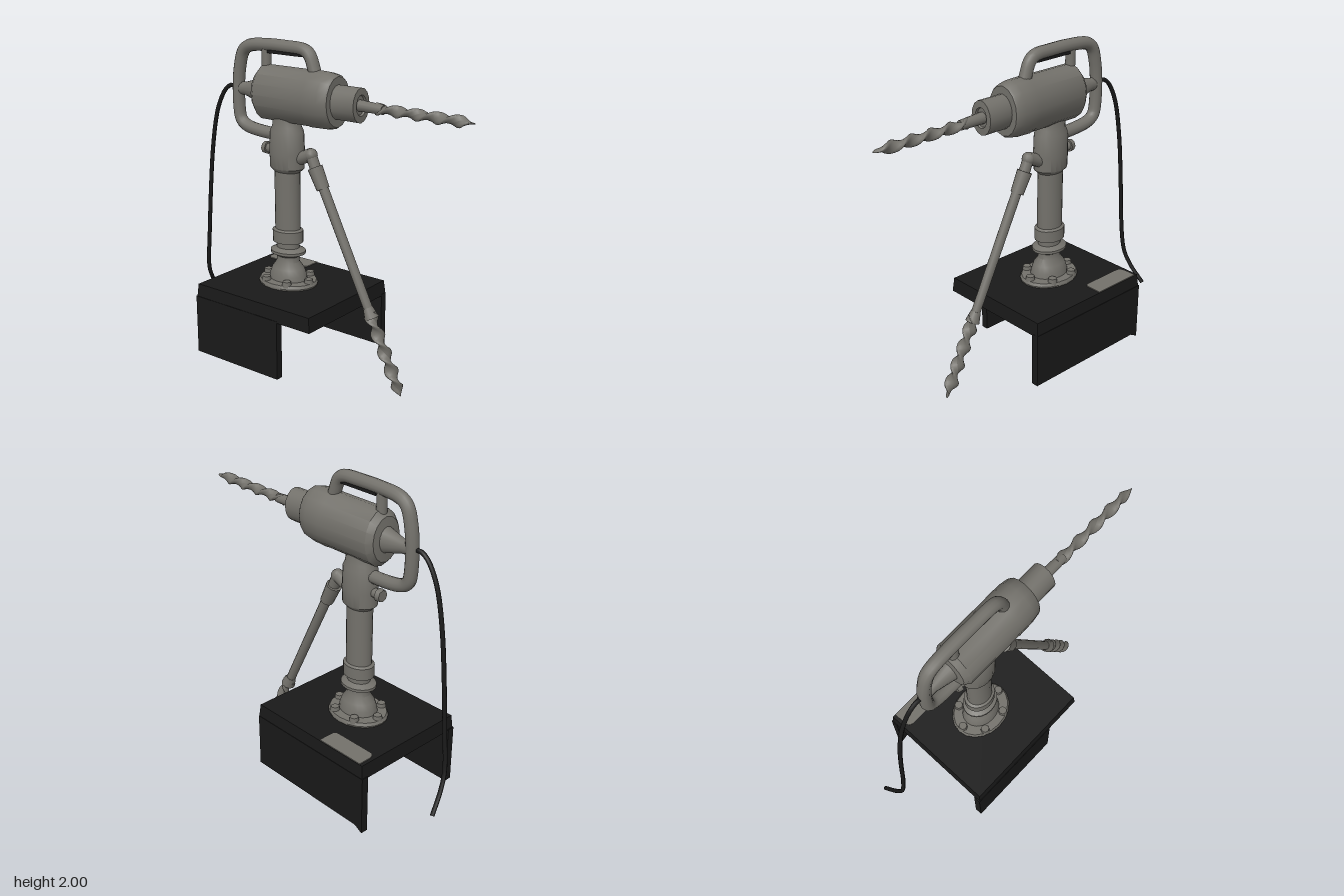
import * as THREE from 'three';
import { toCreasedNormals } from 'three/addons/utils/BufferGeometryUtils.js';

const steel = new THREE.MeshStandardMaterial({ color: 0x73716b });
steel.name = 'steel grey';
const black = new THREE.MeshStandardMaterial({ color: 0x191919 });
black.name = 'black';

const V = (x, y, z = 0) => new THREE.Vector3(x, y, z);

export function createModel() {
  const model = new THREE.Group();
  model.name = 'drillOnStand';

  function add(name, geometry, material = steel) {
    const mesh = new THREE.Mesh(geometry, material);
    mesh.name = name;
    model.add(mesh);
    return mesh;
  }

  // Closed turned part from [radius, height] pairs, flattened in z
  function turned(profile, flatten, sides = 20) {
    const g = new THREE.LatheGeometry(profile.map(([r, h]) => new THREE.Vector2(r, h)), sides);
    g.scale(1, 1, flatten);
    return toCreasedNormals(g, 0.7);
  }

  function tube(points, radius, segments, sides = 10, tension = 0.5) {
    const curve = new THREE.CatmullRomCurve3(points, false, 'catmullrom', tension);
    return new THREE.TubeGeometry(curve, segments, radius, sides);
  }

  // Puts a part built along +y between two points
  function span(mesh, a, b) {
    const dir = b.clone().sub(a);
    mesh.position.copy(a).addScaledVector(dir, 0.5);
    mesh.quaternion.setFromUnitVectors(V(0, 1, 0), dir.normalize());
    return mesh;
  }

  function rod(name, a, b, rA, rB = rA, sides = 12) {
    return span(add(name, new THREE.CylinderGeometry(rB, rA, a.distanceTo(b), sides)), a, b);
  }

  // Flat bar twisted along its length and narrowed to a point
  function twistedBit(name, a, b, radius, turns, flat) {
    const length = a.distanceTo(b);
    const g = new THREE.CylinderGeometry(1, 1, length, 10, 48);
    const p = g.attributes.position;
    for (let i = 0; i < p.count; i++) {
      const t = p.getY(i) / length + 0.5;
      const angle = t * turns * Math.PI * 2;
      const r = radius * Math.min(1, 0.1 + (1 - t) * 7);
      const x = p.getX(i) * r, z = p.getZ(i) * r * flat;
      p.setX(i, x * Math.cos(angle) - z * Math.sin(angle));
      p.setZ(i, x * Math.sin(angle) + z * Math.cos(angle));
    }
    g.computeVertexNormals();
    return span(add(name, g), a, b);
  }

  // Base table top, slightly narrower at its upper face
  const top = new THREE.BoxGeometry(0.88, 0.09, 0.76);
  const tp = top.attributes.position;
  for (let i = 0; i < tp.count; i++) {
    if (tp.getY(i) > 0) tp.setXYZ(i, tp.getX(i) * 0.98, tp.getY(i), tp.getZ(i) * 0.98);
  }
  top.computeVertexNormals();
  add('baseTop', top, black).position.set(-0.23, 0.475, 0);

  // Base side panels: the front one is shorter
  function panel(name, corners, z) {
    const shape = new THREE.Shape(corners.map(([x, y]) => new THREE.Vector2(x, y)));
    const g = new THREE.ExtrudeGeometry(shape, { depth: 0.045, bevelEnabled: false });
    add(name, g, black).position.z = z;
  }
  panel('frontPanel', [[-0.675, 0.07], [-0.03, 0.07], [-0.03, 0.44], [-0.675, 0.44]], 0.337);
  panel('backPanel', [[-0.675, 0.07], [-0.62, 0.1], [0.21, 0.1], [0.21, 0.44], [-0.675, 0.44]], -0.382);

  // Small label plate on the base
  const label = new THREE.Shape();
  label.moveTo(-0.64, 0.37);
  label.lineTo(-0.32, 0.37);
  label.lineTo(-0.32, 0.28);
  label.quadraticCurveTo(-0.32, 0.25, -0.35, 0.25);
  label.lineTo(-0.6, 0.25);
  label.quadraticCurveTo(-0.64, 0.25, -0.64, 0.3);
  const labelPlate = add('labelPlate', new THREE.ExtrudeGeometry(label, { depth: 0.006, bevelEnabled: false }));
  labelPlate.rotation.x = -Math.PI / 2;
  labelPlate.position.y = 0.519;

  // Column with flange, ring and collar
  const cx = -0.255;
  add('column', turned([
    [0, 0.515], [0.19, 0.515], [0.195, 0.53], [0.185, 0.548], [0.125, 0.55], [0.12, 0.58],
    [0.105, 0.62], [0.075, 0.66], [0.075, 0.695], [0.115, 0.715], [0.115, 0.732], [0.075, 0.75],
    [0.075, 0.78], [0.1, 0.787], [0.1, 0.86], [0.083, 0.87], [0.083, 1.24], [0, 1.24],
  ], 0.82)).position.x = cx;
  for (let i = 0; i < 6; i++) {
    const a = (i / 6) * Math.PI * 2;
    add('flangeBolt', new THREE.CylinderGeometry(0.025, 0.03, 0.035, 8))
      .position.set(cx + Math.cos(a) * 0.16, 0.555, Math.sin(a) * 0.13);
  }

  // Clamp holding the drill, with its knob
  add('clamp', turned([
    [0, 1.225], [0.085, 1.225], [0.112, 1.25], [0.115, 1.34], [0.11, 1.47], [0.095, 1.5], [0.09, 1.56], [0, 1.56],
  ], 0.78)).position.x = cx;
  rod('clampScrew', V(-0.35, 1.345), V(-0.41, 1.345), 0.028);
  rod('clampKnob', V(-0.4, 1.345), V(-0.43, 1.345), 0.04, 0.035, 8);

  // Drill motor and chuck, turned around the x axis
  const motor = add('motorBody', turned([
    [0, -0.61], [0.04, -0.61], [0.04, -0.57], [0.075, -0.45], [0.13, -0.445], [0.165, -0.41],
    [0.165, -0.05], [0.168, -0.04], [0.165, 0.06], [0.155, 0.11], [0.145, 0.122],
    [0.1, 0.122], [0.1, 0.28], [0.06, 0.282], [0.055, 0.27], [0, 0.27],
  ], 0.78, 16));
  motor.rotation.z = -Math.PI / 2;
  motor.position.y = 1.685;
  rod('chuckShaft', V(0.26, 1.685), V(0.43, 1.68), 0.034, 0.028);
  twistedBit('drillBit', V(0.38, 1.68), V(0.995, 1.68), 0.036, 2.4, 0.5);

  // Handle loop behind and above the motor
  add('handleLoop', tube([
    V(-0.26, 1.44), V(-0.42, 1.44), V(-0.55, 1.455), V(-0.61, 1.49), V(-0.628, 1.56), V(-0.63, 1.7),
    V(-0.615, 1.82), V(-0.585, 1.91), V(-0.52, 1.95), V(-0.38, 1.962), V(-0.24, 1.962), V(-0.13, 1.957),
    V(-0.08, 1.925), V(-0.05, 1.85), V(-0.03, 1.79),
  ], 0.038, 80, 12));
  rod('handlePost', V(-0.405, 1.8), V(-0.405, 1.95), 0.03);
  add('trigger', new THREE.BoxGeometry(0.26, 0.03, 0.05), black).position.set(-0.25, 1.932, 0);

  // Power cable
  add('cable', tube([
    V(-0.64, 1.69), V(-0.7, 1.69), V(-0.76, 1.635), V(-0.82, 1.5), V(-0.865, 1.27), V(-0.895, 1),
    V(-0.92, 0.7, 0), V(-0.945, 0.48, -0.01), V(-0.965, 0.36, -0.06), V(-0.99, 0.25, -0.15),
  ], 0.013, 60, 8), black);

  // Bracing leg with a twisted ground spike
  rod('legBracket', V(-0.17, 1.31), V(-0.07, 1.355), 0.038);
  add('legElbow', new THREE.SphereGeometry(0.04, 12, 8)).position.set(-0.075, 1.35, 0);
  rod('legUpper', V(-0.075, 1.35), V(-0.03, 1.25), 0.034);
  rod('legSleeve', V(-0.045, 1.28), V(0.015, 1.16), 0.046, 0.04);
  rod('legRod', V(0, 1.2), V(0.365, 0.46), 0.03, 0.028);
  rod('legCollar', V(0.345, 0.5), V(0.375, 0.44), 0.03, 0.044);
  twistedBit('groundSpike', V(0.36, 0.47), V(0.588, 0.005), 0.044, 2.3, 0.42);

  return model;
}
